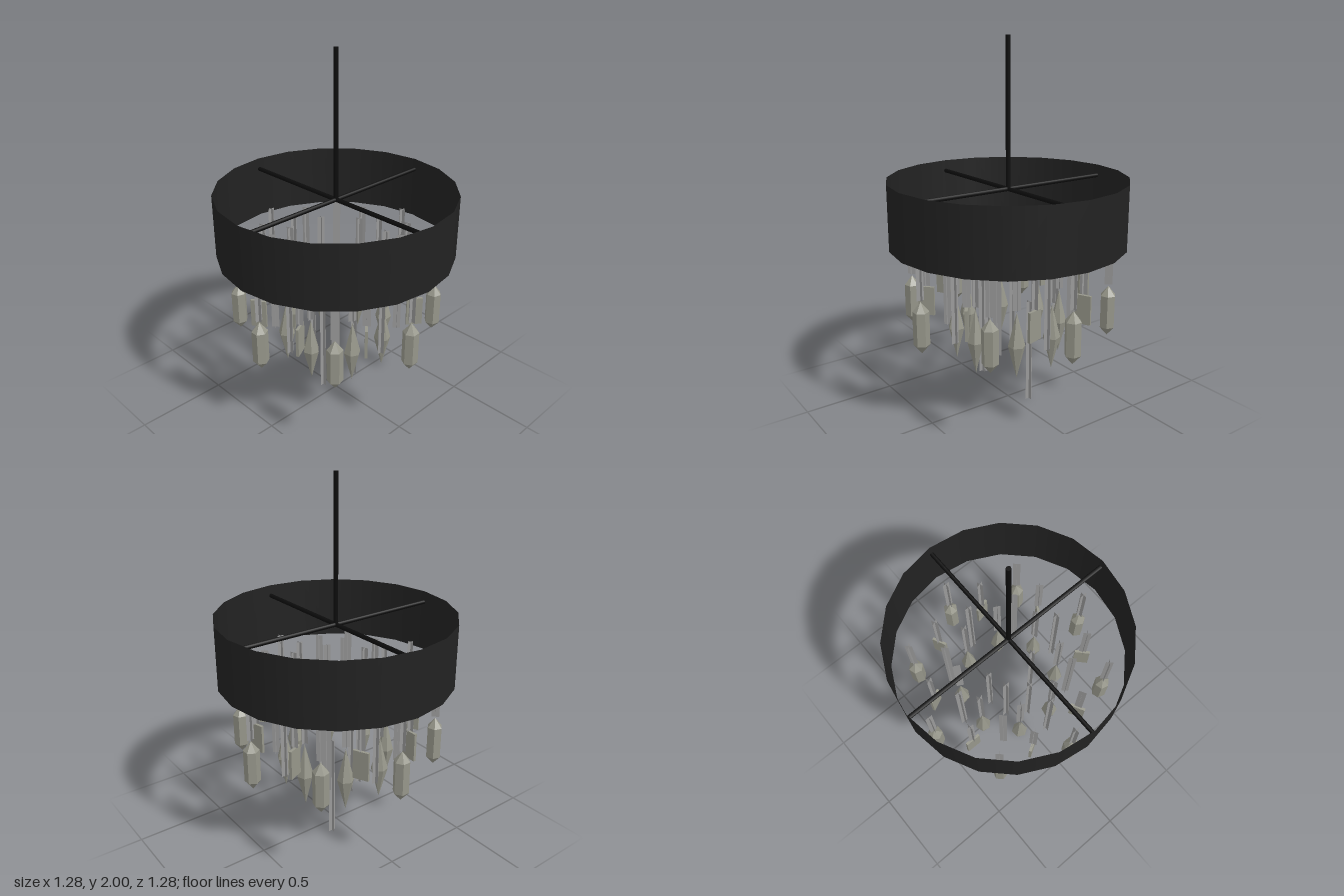
import * as THREE from 'three';

const DEG = Math.PI / 180;

export function createModel() {
  const model = new THREE.Group();
  const shadeMat = new THREE.MeshStandardMaterial({ color: 0x222222, side: THREE.DoubleSide });
  const rodMat = new THREE.MeshStandardMaterial({ color: 0x0c0c0c });
  const stripMat = new THREE.MeshStandardMaterial({ color: 0x999999, side: THREE.DoubleSide });
  const glassMat = new THREE.MeshStandardMaterial({ color: 0x96968a, flatShading: true });

  const add = (parent, name, geometry, material, x = 0, y = 0, z = 0) => {
    const mesh = new THREE.Mesh(geometry, material);
    mesh.name = name;
    mesh.position.set(x, y, z);
    parent.add(mesh);
    return mesh;
  };

  // Group at a polar position (degrees, counter-clockwise seen from above)
  const station = (name, radius, angle, turn = angle) => {
    const g = new THREE.Group();
    g.name = name;
    g.position.set(radius * Math.cos(angle * DEG), 0, -radius * Math.sin(angle * DEG));
    g.rotation.y = turn * DEG;
    model.add(g);
    return g;
  };

  // Chain: two crossed flat strips
  const chain = (parent, bottom, top) => {
    for (const turn of [0, Math.PI / 2]) {
      const strip = add(parent, 'chainStrip', new THREE.PlaneGeometry(0.042, top - bottom),
        stripMat, 0, (bottom + top) / 2, 0);
      strip.rotation.y = turn;
    }
  };

  // Six-sided crystal from [radius, y] points
  const crystalGeometry = (points) =>
    new THREE.LatheGeometry(points.map(([r, y]) => new THREE.Vector2(r, y)), 6);
  const longCrystal = crystalGeometry([[0, 0.42], [0.043, 0.47], [0.043, 0.65], [0, 0.703]]);
  const spindleCrystal = crystalGeometry([[0, 0.265], [0.046, 0.445], [0, 0.63]]);

  // Open drum shade
  add(model, 'drumShade', new THREE.CylinderGeometry(0.64, 0.64, 0.35, 20, 1, true), shadeMat, 0, 1.102, 0);

  // Stem and crossed support bars
  add(model, 'stem', new THREE.CylinderGeometry(0.012, 0.012, 0.785, 8), rodMat, 0, 1.6075, 0);
  const barGeometry = new THREE.CylinderGeometry(0.012, 0.012, 1.27, 8);
  add(model, 'crossBar', barGeometry, rodMat, 0, 1.215, 0).rotation.z = Math.PI / 2;
  add(model, 'crossBar', barGeometry, rodMat, 0, 1.215, 0).rotation.x = Math.PI / 2;

  // Rings of crystals and bare chains
  for (let i = 0; i < 8; i++) {
    const a = i * 45;
    const outer = station('outerPendant', 0.545, a);
    add(outer, 'longCrystal', longCrystal, glassMat);
    chain(outer, 0.71, 0.99);

    const inner = station('innerPendant', 0.288, a + 18);
    add(inner, 'spindleCrystal', spindleCrystal, glassMat);
    chain(inner, 0.64, 0.99);

    chain(station('ringChain', 0.345, a), 0.42, 1.01);
  }

  // Flat plates, each turned its own way
  const plateGeometry = new THREE.BoxGeometry(0.087, 0.16, 0.015);
  [53, 14, 115, 25, 0, 31, 118, 133].forEach((turn, i) => {
    const plate = station('platePendant', 0.447, 26.9 + 44.1 * i, turn);
    add(plate, 'plate', plateGeometry, glassMat, 0, 0.62, 0);
    chain(plate, 0.705, 0.99);
  });

  // Long loose chains in the middle
  for (const [x, z, bottom] of [[-0.08, -0.09, 0], [0.04, 0.14, 0.115], [0.16, 0.02, 0.2], [-0.095, 0.09, 0.27]]) {
    const g = station('centreChain', 0, 0);
    g.position.set(x, 0, z);
    chain(g, bottom, bottom + 0.59);
  }

  return model;
}
